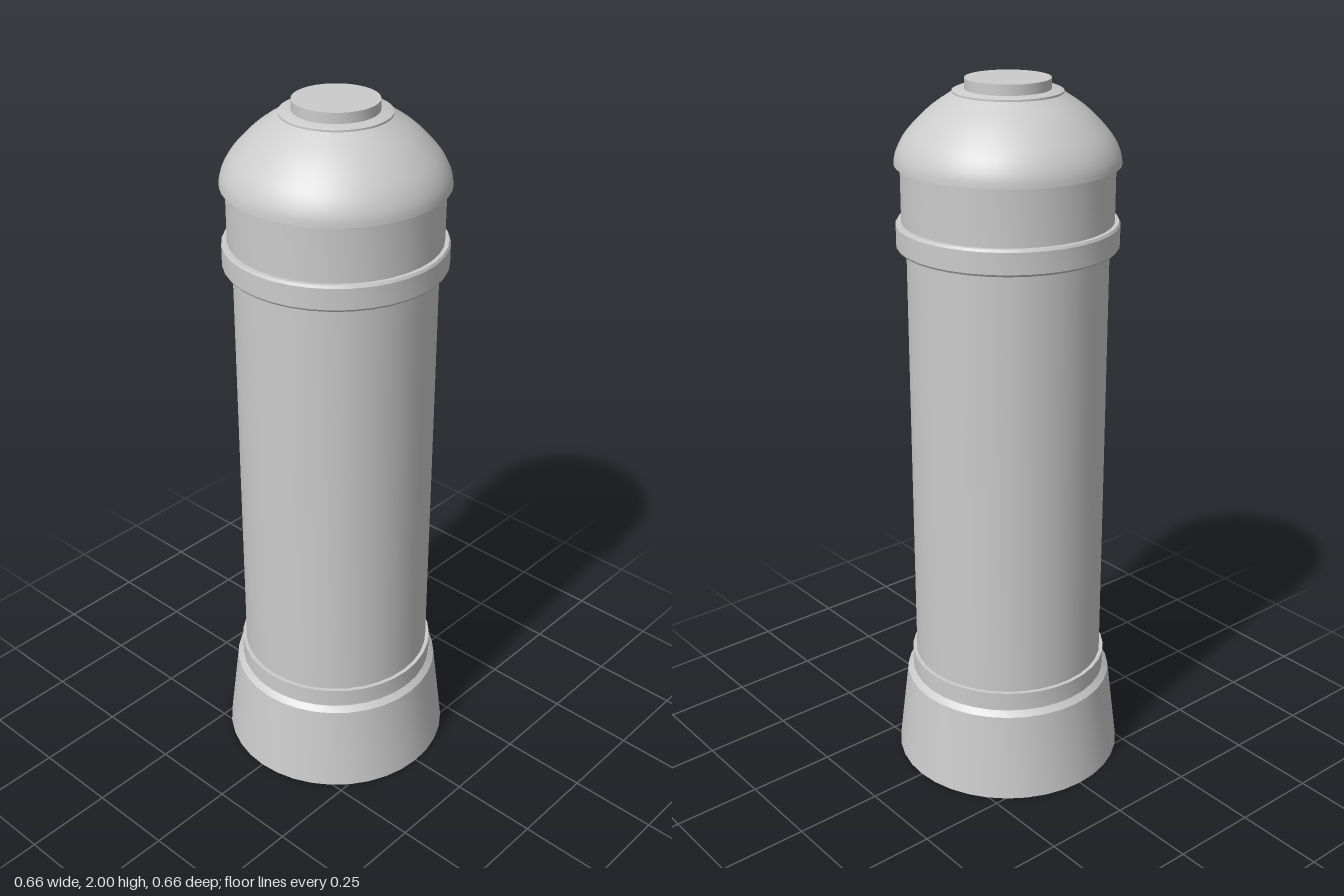
import * as THREE from 'three';
import { toCreasedNormals } from 'three/addons/utils/BufferGeometryUtils.js';

export function createModel() {
  const group = new THREE.Group();
  const material = new THREE.MeshStandardMaterial({ color: 0xcccccc });

  // Turned part from [radius, height] points, listed bottom to top
  function turned(name, profile, segments = 36) {
    const points = profile.map(([r, y]) => new THREE.Vector2(r, y));
    const geometry = toCreasedNormals(new THREE.LatheGeometry(points, segments), 0.5);
    const mesh = new THREE.Mesh(geometry, material);
    mesh.name = name;
    group.add(mesh);
  }

  // Flared foot with a small shoulder
  turned('base', [[0, 0], [0.33, 0], [0.3, 0.255], [0.285, 0.27], [0, 0.27]]);

  // Band where the shaft meets the foot
  turned('lowerBand', [[0.272, 0.26], [0.284, 0.26], [0.284, 0.325], [0.272, 0.325]]);

  // Main shaft
  turned('shaft', [[0, 0.26], [0.273, 0.26], [0.273, 1.57], [0, 1.57]]);

  // Protruding collar with softened edges
  turned('collar', [[0.27, 1.556], [0.296, 1.556], [0.3, 1.562], [0.3, 1.62], [0.296, 1.627], [0.28, 1.627]]);

  // Neck between collar and dome
  turned('neck', [[0.285, 1.61], [0.285, 1.785]]);

  // Dome with a flat overhanging underside
  const curve = new THREE.SplineCurve([
    [0.3, 1.78], [0.296, 1.806], [0.28, 1.841], [0.252, 1.877], [0.204, 1.923], [0.142, 1.965],
  ].map(([r, y]) => new THREE.Vector2(r, y)));
  const domeProfile = curve.getPoints(15).map((p) => [p.x, p.y]);
  turned('dome', [[0.28, 1.78], ...domeProfile, [0, 1.965]], 48);

  // Thin rim and cap on top
  turned('topRim', [[0.13, 1.963], [0.146, 1.963], [0.146, 1.968], [0.137, 1.972], [0, 1.972]]);
  turned('topCap', [[0.113, 1.965], [0.113, 2], [0, 2]]);

  return group;
}
